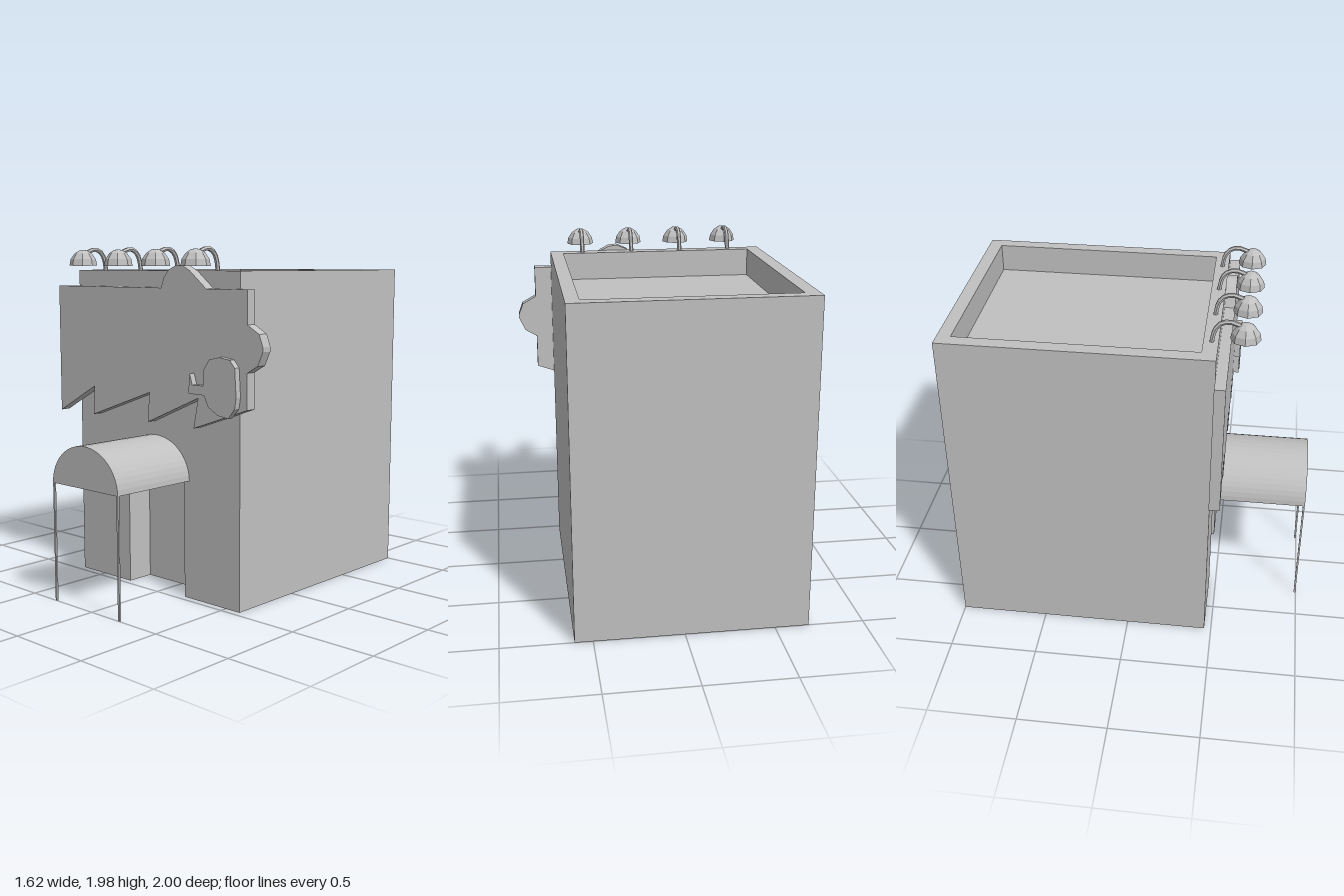
import * as THREE from 'three';

const grey = new THREE.MeshStandardMaterial({ color: 0xc0c0c0, side: THREE.DoubleSide });
grey.name = 'plain grey';
const flatGrey = grey; // one colour for the whole model

function add(parent, name, geometry, x = 0, y = 0, z = 0) {
  const mesh = new THREE.Mesh(geometry, flatGrey);
  mesh.name = name;
  mesh.position.set(x, y, z);
  parent.add(mesh);
  return mesh;
}

// Gives every face its own normal
function faceted(geometry) {
  const g = geometry.index ? geometry.toNonIndexed() : geometry;
  g.computeVertexNormals();
  return g;
}

const shapeOf = (pts) => new THREE.Shape(pts.map(([x, y]) => new THREE.Vector2(x, y)));
const extrude = (shape, depth) => new THREE.ExtrudeGeometry(shape, { depth, bevelEnabled: false, curveSegments: 12 });
const rect = (x0, y0, x1, y1) => [[x0, y0], [x1, y0], [x1, y1], [x0, y1]];

// Building extents
const L = -0.69, R = 0.6, BACK = -1, FRONT = 0.46, TOP = 1.85;
const ROOF = 1.69;
// Doorway extents
const DL = -0.27, DR = 0.185, DH = 0.68, DZ = 0.295;

// Upright panel facing along z (dir 1 or -1)
function panelZ(parent, name, x0, x1, y0, y1, z, dir) {
  const m = add(parent, name, new THREE.PlaneGeometry(x1 - x0, y1 - y0), (x0 + x1) / 2, (y0 + y1) / 2, z);
  if (dir < 0) m.rotation.y = Math.PI;
}
// Upright panel facing along x
function panelX(parent, name, z0, z1, y0, y1, x, dir) {
  const m = add(parent, name, new THREE.PlaneGeometry(z1 - z0, y1 - y0), x, (y0 + y1) / 2, (z0 + z1) / 2);
  m.rotation.y = dir * Math.PI / 2;
}
// Level panel facing up or down
function panelY(parent, name, x0, x1, z0, z1, y, dir) {
  const m = add(parent, name, new THREE.PlaneGeometry(x1 - x0, z1 - z0), (x0 + x1) / 2, y, (z0 + z1) / 2);
  m.rotation.x = -dir * Math.PI / 2;
}

// Hollow building, open underneath, with a sunken roof and a recessed doorway
function building() {
  const g = new THREE.Group();
  g.name = 'building';
  const front = shapeOf([[L, 0], [DL, 0], [DL, DH], [DR, DH], [DR, 0], [R, 0], [R, TOP], [L, TOP]]);
  add(g, 'frontWall', new THREE.ShapeGeometry(front), 0, 0, FRONT);
  panelZ(g, 'backWall', L, R, 0, TOP, BACK, -1);
  panelX(g, 'leftWall', BACK, FRONT, 0, TOP, R, 1);
  panelX(g, 'rightWall', BACK, FRONT, 0, TOP, L, -1);

  // Parapet rim, inner faces and roof
  const il = -0.61, ir = 0.525, ib = -0.925, inf = 0.38;
  const rim = shapeOf(rect(L, -FRONT, R, -BACK));
  rim.holes.push(shapeOf(rect(il, -inf, ir, -ib)));
  add(g, 'parapetRim', new THREE.ShapeGeometry(rim), 0, TOP, 0).rotation.x = -Math.PI / 2;
  panelZ(g, 'parapetInnerBack', il, ir, ROOF, TOP, ib, 1);
  panelZ(g, 'parapetInnerFront', il, ir, ROOF, TOP, inf, -1);
  panelX(g, 'parapetInnerLeft', ib, inf, ROOF, TOP, ir, -1);
  panelX(g, 'parapetInnerRight', ib, inf, ROOF, TOP, il, 1);
  panelY(g, 'roof', il, ir, ib, inf, ROOF, 1);

  // Doorway recess
  panelZ(g, 'door', DL, DR, 0, DH, DZ, 1);
  panelX(g, 'doorwayRightSide', DZ, FRONT, 0, DH, DL, 1);
  panelX(g, 'doorwayLeftSide', DZ, FRONT, 0, DH, DR, -1);
  panelY(g, 'doorwayCeiling', DL, DR, DZ, FRONT, DH, -1);
  return g;
}

// Cut-out sign board with a torn lower edge, and a raised emblem on it
function sign() {
  const g = new THREE.Group();
  g.name = 'sign';
  const board = shapeOf([
    [-0.81, 0.995], [-0.5, 1.165], [-0.51, 0.995], [-0.03, 1.165], [-0.045, 0.995], [0.35, 1.165],
    [0.315, 0.995], [0.7, 1.13], [0.7, 1.325], [0.77, 1.365], [0.805, 1.44], [0.805, 1.465],
    [0.78, 1.53], [0.7, 1.575], [0.7, 1.755], [0.41, 1.755], [0.29, 1.85], [0.24, 1.875],
    [0.19, 1.88], [0.13, 1.855], [0.09, 1.81], [0.07, 1.755], [-0.81, 1.755],
  ]);
  add(g, 'signBoard', extrude(board, 0.06), 0, 0, FRONT);
  const emblem = shapeOf([
    [0.31, 1.19], [0.425, 1.19], [0.455, 1.13], [0.525, 1.09], [0.6, 1.08], [0.645, 1.135],
    [0.655, 1.195], [0.645, 1.35], [0.61, 1.39], [0.535, 1.4], [0.465, 1.385], [0.425, 1.33],
    [0.42, 1.24], [0.34, 1.24], [0.32, 1.3],
  ]);
  add(g, 'signEmblem', extrude(emblem, 0.035), 0, 0, 0.52);
  return g;
}

// Arched canopy on two thin posts
function canopy() {
  const g = new THREE.Group();
  g.name = 'canopy';
  const arch = new THREE.Shape();
  arch.absellipse(-0.043, DH, 0.267, 0.235, 0, Math.PI, false);
  add(g, 'canopyRoof', extrude(arch, 1 - FRONT), 0, 0, FRONT);
  for (const x of [-0.304, 0.218]) {
    add(g, 'canopyPost', new THREE.BoxGeometry(0.013, DH, 0.01), x, DH / 2, 0.994);
  }
  return g;
}

// Goose-neck lamp: bent pipe and eight-sided shade
function lamp(x) {
  const g = new THREE.Group();
  g.name = 'lamp';
  const pts = [[1.84, 0.422], [1.92, 0.438], [1.955, 0.465], [1.968, 0.51], [1.945, 0.58]]
    .map(([y, z]) => new THREE.Vector3(0, y, z));
  const path = new THREE.CatmullRomCurve3(pts);
  add(g, 'lampPipe', faceted(new THREE.TubeGeometry(path, 8, 0.013, 6)));
  const profile = [[0.08, 1.875], [0.073, 1.912], [0.05, 1.945], [0.022, 1.963], [0, 1.966]]
    .map(([r, y]) => new THREE.Vector2(r, y));
  add(g, 'lampShade', faceted(new THREE.LatheGeometry(profile, 8)), 0, 0, 0.597);
  g.position.x = x;
  return g;
}

export function createModel() {
  const model = new THREE.Group();
  model.name = 'shopfront';
  model.add(building(), sign(), canopy());
  for (const x of [-0.492, -0.192, 0.107, 0.407]) model.add(lamp(x));
  return model;
}
